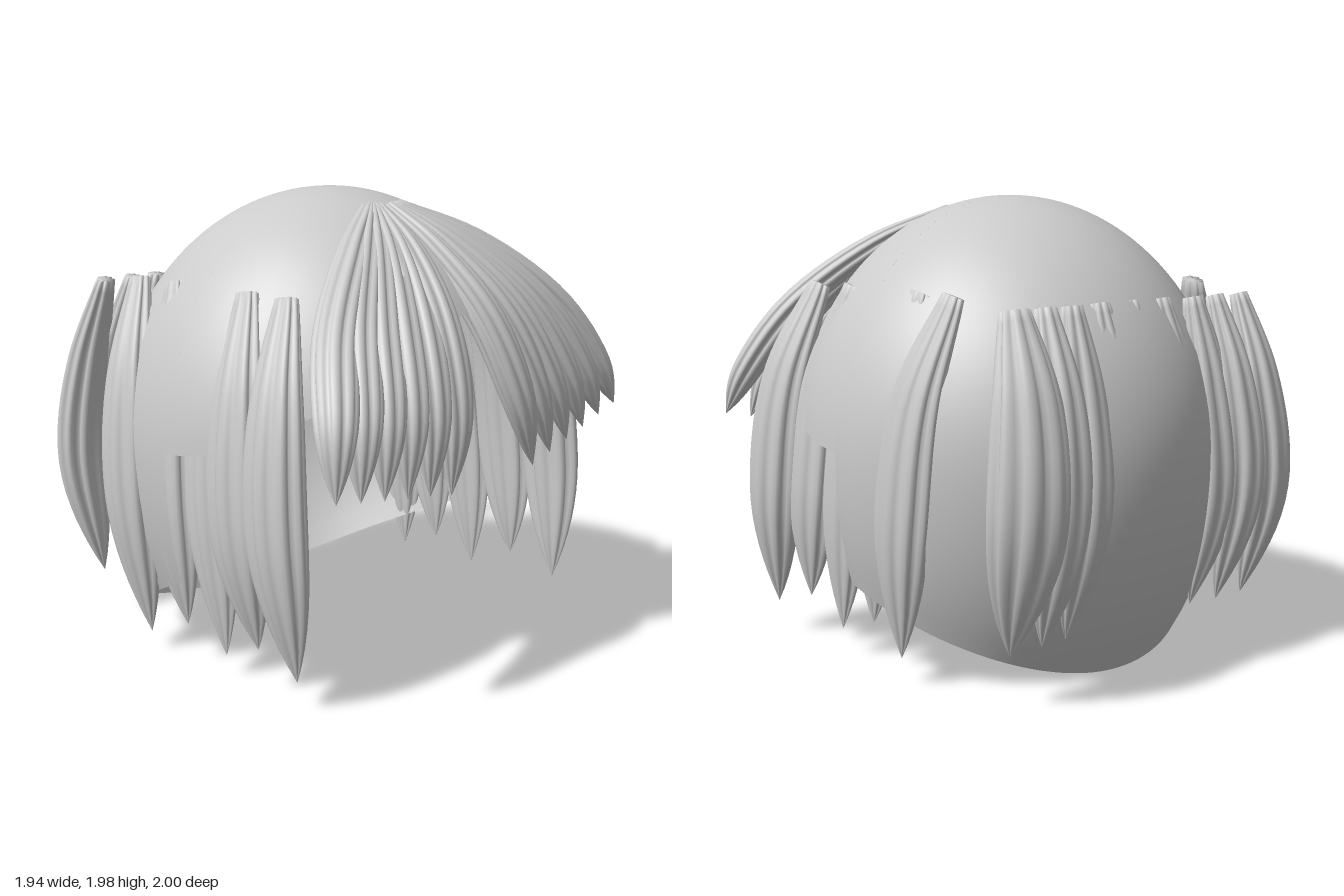
import * as THREE from 'three';

const { lerp, clamp } = THREE.MathUtils;
const V = (x, y, z) => new THREE.Vector3(x, y, z);
const grey = new THREE.MeshStandardMaterial({ color: 0xcccccc, side: THREE.DoubleSide });

// Smooth surface from point(u, v); u and v run 0..1, v optionally wraps round
function surface(rows, cols, point, closed) {
  const pos = [], index = [];
  const stride = closed ? cols : cols + 1;
  for (let i = 0; i <= rows; i++) {
    for (let j = 0; j < stride; j++) pos.push(...point(i / rows, j / cols, i).toArray());
  }
  for (let i = 0; i < rows; i++) {
    for (let j = 0; j < cols; j++) {
      const a = i * stride + j, b = i * stride + (j + 1) % stride;
      index.push(a, b, a + stride, b, b + stride, a + stride);
    }
  }
  const geo = new THREE.BufferGeometry();
  geo.setAttribute('position', new THREE.Float32BufferAttribute(pos, 3));
  geo.setIndex(index);
  geo.computeVertexNormals();
  return geo;
}

function add(group, name, geo) {
  const mesh = new THREE.Mesh(geo, grey);
  mesh.name = name;
  group.add(mesh);
}

// Point on the rounded scalp at height y and azimuth phi (0 = front)
function scalp(y, phi) {
  const k = y > 0.9 ? (y - 0.9) / 1.08 : (0.9 - y) / 1.36;
  let r = 0.945 * Math.sqrt(Math.max(0, 1 - k * k));
  const back = Math.max(0, -Math.cos(phi));
  r *= 1 + 0.04 * back * back * Math.sin(Math.PI * clamp(y / 1.98, 0, 1));
  return V(r * Math.sin(phi), y, r * Math.cos(phi));
}

// Part of the cap between two azimuths, running from its hem to the crown
function capPanel(from, to, hem) {
  return surface(40, 64, (u, v) => {
    const phi = lerp(from, to, v);
    return scalp(1.98 - (1.98 - hem(phi)) * (1 - u) ** 2, phi);
  });
}

// Hem over the brow: highest at the centre, falling to the temples
function browHem(phi) {
  const a = Math.abs(phi) / (Math.PI / 2);
  return 0.95 + 0.55 * (0.5 + 0.5 * Math.cos(Math.PI * Math.pow(a, 0.9)));
}

// Hem at the nape: falls steadily towards the back
function napeHem(phi) {
  return 0.38 * (1 - Math.max(0, -Math.cos(phi)));
}

// Ribbed lock of hair: blunt root, full middle, pointed tip
function lock(points, outward, halfWidth, halfDepth) {
  const curve = new THREE.CatmullRomCurve3(points);
  const rows = 26, lobes = 8;
  return surface(rows, 48, (u, v, i) => {
    const t = i === 0 ? 0 : (i - 1) / (rows - 1);
    const c = curve.getPoint(t), T = curve.getTangent(t);
    const N = outward.clone().addScaledVector(T, -outward.dot(T)).normalize();
    const W = N.clone().cross(T);
    let s = t < 0.6
      ? 0.38 + 0.62 * Math.sin((Math.PI / 2) * t / 0.6)
      : 1 - Math.pow((t - 0.6) / 0.4, 2.4);
    if (i === 0) s = 0;
    const a = v * Math.PI * 2;
    s *= 0.8 + 0.22 * Math.abs(Math.cos(a * lobes / 2));
    return c.addScaledVector(W, s * halfWidth * Math.cos(a))
      .addScaledVector(N, s * halfDepth * Math.sin(a));
  }, true);
}

export function createModel() {
  const model = new THREE.Group();
  model.name = 'hair';

  // Cap under the locks, open over the face
  const cap = new THREE.Group();
  cap.name = 'cap';
  add(cap, 'frontCap', capPanel(-Math.PI / 2, Math.PI / 2, browHem));
  add(cap, 'backCap', capPanel(Math.PI / 2, Math.PI * 1.5, napeHem));
  model.add(cap);

  const fringe = new THREE.Group(), sides = new THREE.Group(), back = new THREE.Group();
  fringe.name = 'fringe';
  sides.name = 'sideLocks';
  back.name = 'backLocks';
  model.add(fringe, sides, back);

  for (const s of [-1, 1]) {
    const side = s > 0 ? 'left' : 'right';

    // Fringe fanning out from a parting set slightly to one side
    for (let i = 0; i < 6; i++) {
      const k = i / 5;
      const shift = -0.035 * (1 - k);
      const tipX = s > 0 ? lerp(0.29, 0.95, k) : lerp(0.25, 0.92, k);
      const tipY = s > 0 ? lerp(0.84, 1.0, k) : lerp(0.82, 0.92, k);
      const tipZ = s > 0 ? lerp(0.92, 0.87, k) : lerp(0.93, 0.95, k);
      const path = [
        V(shift + s * lerp(0.03, 0.09, k), 1.91, lerp(0.35, 0.32, k)),
        V(shift + s * lerp(0.07, 0.38, k), 1.75, lerp(0.56, 0.51, k)),
        V(shift + s * lerp(0.14, 0.68, k), 1.48, lerp(0.79, 0.71, k)),
        V(shift * 0.5 + s * lerp(0.21, 0.87, k), lerp(1.14, 1.19, k), tipZ - lerp(0.01, 0.05, k)),
        V(s * tipX, tipY, tipZ),
      ];
      add(fringe, side + 'FringeLock', lock(path, V(s * k * 0.75, 0.5, 0.8), 0.09, 0.07));
    }

    // Straight row of locks down each side, sinking into the cap at the middle
    const inset = s > 0 ? [0, 0.05, 0.07, 0.07, 0.02] : [0, 0.01, 0.07, 0.04, 0.01];
    for (let i = 0; i < 5; i++) {
      const z = -0.23 * i;
      const tipY = [0.15, 0.22, 0.12, 0.2, 0.11][i] - (s < 0 ? 0.03 : 0);
      const path = [
        V(s * (0.695 - inset[i] / 3), 1.6, z + 0.46),
        V(s * (0.83 - inset[i]), 1.2, z + 0.54),
        V(s * (0.875 - inset[i]), 0.7, z + 0.585),
        V(s * (0.83 - inset[i] / 2), tipY, z + 0.65),
      ];
      add(sides, side + 'SideLock', lock(path, V(s, 0, 0), 0.15, 0.095 - inset[i] / 3));
    }
  }

  // Row of locks across the back, the outer ones standing out and turned sideways
  const reach = [0, 0.19, 0.38, 0.53, 0.7];
  for (let i = -4; i <= 4; i++) {
    const n = Math.abs(i), x = Math.sign(i) * reach[n];
    const out = [0, 0, 0.01, 0.04, 0.04][n];
    const path = [
      V(0.92 * x - 0.01, 1.56, n < 2 ? -0.735 : -0.76),
      V(0.96 * x - 0.015, 1.2, -0.82 - out),
      V(x - 0.02, 0.75, -0.85 - out),
      V(x * 0.98 - 0.02, 0.21, n < 3 ? -0.75 : -0.77),
    ];
    const turn = Math.sign(i) * [0, 0, 0.1, 0.35, 0.6][n];
    add(back, 'backLock', lock(path, V(turn, 0, -1), n > 3 ? 0.16 : 0.125, 0.1));
  }
  return model;
}
